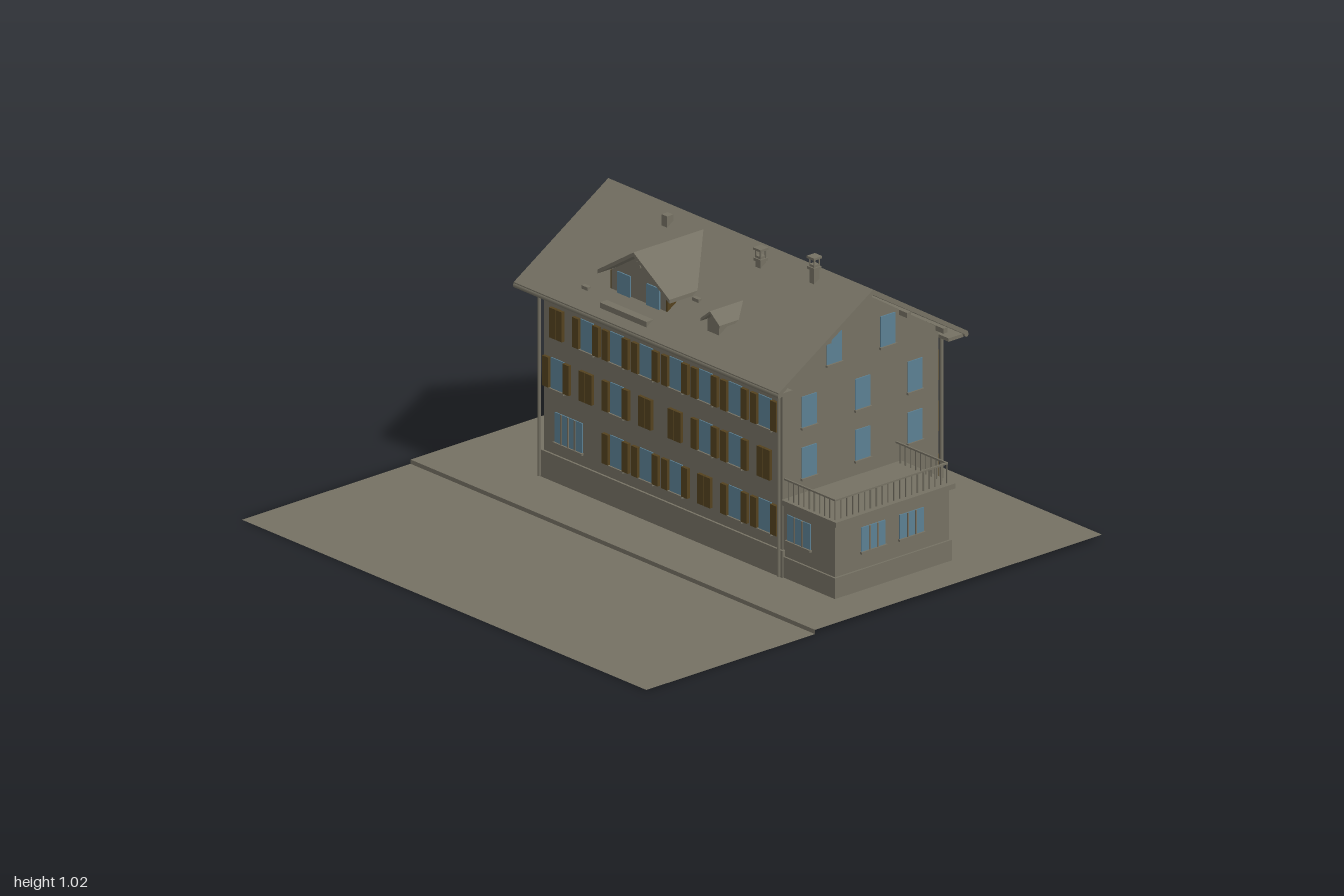
import * as THREE from 'three';

const mat = (name, color, side = THREE.FrontSide) => {
  const m = new THREE.MeshStandardMaterial({ color, side });
  m.name = name;
  return m;
};

export function createModel() {
  const root = new THREE.Group();
  root.name = 'house';
  const stone = mat('stone', 0x757163, THREE.DoubleSide);
  const glass = mat('glass', 0x5b8093);
  const wood = mat('wood', 0x54421f);

  const add = (parent, name, geo, m, x = 0, y = 0, z = 0) => {
    const mesh = new THREE.Mesh(geo, m);
    mesh.name = name;
    mesh.position.set(x, y, z);
    parent.add(mesh);
    return mesh;
  };
  // Box given by its limits on each axis
  const box = (parent, name, m, x0, x1, y0, y1, z0, z1) =>
    add(parent, name, new THREE.BoxGeometry(x1 - x0, y1 - y0, z1 - z0), m,
      (x0 + x1) / 2, (y0 + y1) / 2, (z0 + z1) / 2);
  const shapeOf = pts => new THREE.Shape(pts.map(p => new THREE.Vector2(...p)));
  const extrude = (pts, depth) =>
    new THREE.ExtrudeGeometry(shapeOf(pts), { depth, bevelEnabled: false });
  // Extrude a (z, y) profile along x
  const alongX = (name, m, pts, x0, x1) =>
    add(root, name, extrude(pts, x1 - x0).rotateY(-Math.PI / 2), m, x1, 0, 0);
  // Extrude an (x, y) profile along z
  const alongZ = (name, m, pts, z0, z1) => add(root, name, extrude(pts, z1 - z0), m, 0, 0, z0);
  const rod = (name, r, len, x, y, z, axis = 'y') => {
    const g = new THREE.CylinderGeometry(r, r, len, 8);
    if (axis === 'x') g.rotateZ(Math.PI / 2);
    if (axis === 'z') g.rotateX(Math.PI / 2);
    return add(root, name, g, stone, x, y, z);
  };

  // Ground in two levels with a kerb between them
  const plane = (name, w, d, y, z) =>
    add(root, name, new THREE.PlaneGeometry(w, d).rotateX(-Math.PI / 2), stone, 0, y, z);
  plane('yard', 2, 1.26, 0.015, -0.37);
  plane('road', 2, 0.74, 0, 0.63);
  add(root, 'kerb', new THREE.PlaneGeometry(2, 0.015), stone, 0, 0.0075, 0.26);

  // Main walls and plinth
  const ridgeZ = -0.315;
  alongX('walls', stone, [[0.03, 0.01], [0.03, 0.715], [ridgeZ, 0.93], [-0.655, 0.715], [-0.655, 0.01]], -0.6, 0.58);
  box(root, 'plinth', stone, -0.61, 0.588, 0.01, 0.11, -0.665, 0.038);

  // Roof slab, eaves, gutters and purlin ends
  alongX('roof', stone, [[0.1, 0.7], [ridgeZ, 0.957], [-0.73, 0.7], [-0.73, 0.684],
    [ridgeZ, 0.937], [0.1, 0.684]], -0.67, 0.64);
  box(root, 'frontSoffit', stone, -0.66, 0.63, 0.678, 0.69, 0.03, 0.09);
  box(root, 'backSoffit', stone, -0.66, 0.63, 0.678, 0.69, -0.72, -0.655);
  for (const z of [0.095, -0.725]) rod('gutter', 0.009, 1.31, -0.015, 0.689, z, 'x');
  for (const x of [-0.606, 0.578]) for (const z of [0.045, -0.67]) rod('downpipe', 0.006, 0.66, x, 0.35, z);
  for (const z of [0.02, -0.14, -0.49, -0.65])
    box(root, 'purlin', stone, -0.65, 0.62, 0, 0.018, z - 0.009, z + 0.009)
      .position.y = 0.922 - 0.615 * Math.abs(z - ridgeZ);

  // Facade groups: local z points out of the wall
  const facade = (name, x, z, turn) => {
    const g = new THREE.Group();
    g.name = name;
    g.position.set(x, 0, z);
    g.rotation.y = turn;
    root.add(g);
    return g;
  };
  const front = facade('frontFacade', 0, 0.03, 0);
  const back = facade('backFacade', 0, -0.655, Math.PI);
  const left = facade('leftFacade', 0.58, 0, Math.PI / 2);
  const right = facade('rightFacade', -0.6, 0, -Math.PI / 2);

  // Plain window with a sill
  const pane = (f, u, y, w = 0.064, h = 0.108, z = 0) => {
    box(f, 'windowPane', glass, u - w / 2, u + w / 2, y - h / 2, y + h / 2, z - 0.003, z + 0.004);
    box(f, 'windowSill', stone, u - w / 2 - 0.004, u + w / 2 + 0.004, y - h / 2 - 0.008, y - h / 2, z - 0.003, z + 0.01);
  };
  // Window with open or closed shutters
  const shuttered = (f, u, y, open = true) => {
    if (open) pane(f, u, y);
    for (const s of [-1, 1]) {
      const c = u + s * (open ? 0.05 : 0.0165);
      box(f, 'shutter', wood, c - 0.015, c + 0.015, y - 0.053, y + 0.053, 0, 0.012);
    }
  };
  // Wide window divided by slim mullions
  const wide = (f, u, y, w, h, n, z = 0) => {
    pane(f, u, y, w, h, z);
    for (let i = 1; i < n; i++) {
      const c = u - w / 2 + (w * i) / n;
      box(f, 'mullion', stone, c - 0.003, c + 0.003, y - h / 2, y + h / 2, z, z + 0.007);
    }
  };

  // Rows of windows, o = open, x = closed, . = none
  const rows = [[0.575, 'xooooooo'], [0.395, 'oxoxxoox'], [0.208, '..oooxoo']];
  const backRows = [[0.575, 'oooooooo'], [0.395, 'oooooooo'], [0.208, 'oooooo.o']];
  const fill = (f, list, start) => {
    for (const [y, row] of list)
      [...row].forEach((c, i) => { if (c !== '.') shuttered(f, start + 0.1467 * i, y, c === 'o'); });
  };
  fill(front, rows, -0.53);
  fill(back, backRows, -0.505);
  pane(back, 0.375, 0.208);
  wide(front, -0.475, 0.208, 0.135, 0.105, 4);

  // Gable windows
  for (const [f, s] of [[left, -1], [right, 1]]) {
    for (const z of [-0.195, -0.43]) pane(f, s * z, 0.767);
    for (const z of [-0.085, -0.32, -0.55]) for (const y of [0.575, 0.395]) pane(f, s * z, y);
  }
  for (const z of [-0.085, -0.32]) pane(right, z, 0.208);

  // Side doors
  for (const [f, u] of [[left, 0.552], [right, -0.56]]) {
    box(f, 'doorFrame', stone, u - 0.05, u + 0.05, 0.01, 0.205, 0, 0.012);
    box(f, 'door', wood, u - 0.036, u + 0.036, 0.02, 0.19, 0.008, 0.016);
  }
  for (const z of [-0.505, -0.62])
    box(root, 'stepWall', stone, 0.58, 0.62, 0.01, 0.1, z - 0.015, z + 0.015);

  // Side annex with terrace
  box(root, 'annex', stone, 0.58, 0.835, 0.01, 0.27, -0.475, 0.025);
  box(root, 'annexPlinth', stone, 0.58, 0.842, 0.01, 0.088, -0.482, 0.032);
  box(root, 'annexCornice', stone, 0.58, 0.85, 0.27, 0.288, -0.49, 0.035);
  wide(front, 0.658, 0.195, 0.115, 0.09, 3, -0.005);
  for (const u of [0.14, 0.308]) wide(left, u, 0.192, 0.105, 0.085, 3, 0.255);

  // Terrace railing
  const bar = (x, z) => box(root, 'baluster', stone, x - 0.002, x + 0.002, 0.288, 0.358, z - 0.002, z + 0.002);
  for (let i = 0; i < 10; i++) for (const z of [-0.47, 0.02]) bar(0.6 + i * 0.0255, z);
  for (let i = 1; i < 19; i++) bar(0.83, 0.02 - (i * 0.49) / 19);
  for (const z of [-0.47, 0.02]) box(root, 'handrail', stone, 0.58, 0.833, 0.355, 0.361, z - 0.003, z + 0.003);
  box(root, 'handrail', stone, 0.827, 0.833, 0.355, 0.361, -0.47, 0.02);

  // Large dormer: gabled body, timber cheeks, roof, two windows and a balcony box
  const dx = -0.163;
  alongZ('dormerWall', stone, [[dx - 0.135, 0.73], [dx + 0.135, 0.73], [dx + 0.135, 0.83],
    [dx, 0.915], [dx - 0.135, 0.83]], -0.2, 0.0);
  for (const s of [-1, 1])
    box(root, 'dormerCheek', wood, dx + s * 0.137 - 0.003, dx + s * 0.137 + 0.003, 0.73, 0.828, -0.12, 0.0);
  // Dormer roof follows the main slope at its back edge
  const dormerRoof = (name, x, half, eave, peak, zFront, thick) => {
    const g = extrude([[-half, eave], [0, peak], [half, eave], [half, eave - thick],
      [0, peak - thick], [-half, eave - thick]], 1);
    const p = g.attributes.position;
    for (let i = 0; i < p.count; i++) {
      const zBack = ridgeZ + (0.955 - p.getY(i)) / 0.6193 - 0.01;
      p.setZ(i, p.getZ(i) > 0.5 ? zFront : zBack);
    }
    g.computeVertexNormals();
    add(root, name, g, stone, x, 0, 0);
  };
  dormerRoof('dormerRoof', dx, 0.178, 0.823, 0.937, 0.025, 0.014);
  for (const x of [-0.235, -0.09]) pane(front, x, 0.787, 0.064, 0.095, -0.029);
  add(root, 'roundVent', new THREE.CylinderGeometry(0.014, 0.014, 0.01, 16).rotateX(Math.PI / 2), stone, dx, 0.885, 0.003);
  box(root, 'balconyBox', stone, -0.278, -0.048, 0.716, 0.738, 0.0, 0.07);

  // Small dormer
  const sx = 0.21;
  alongZ('smallDormer', stone, [[sx - 0.028, 0.742], [sx + 0.028, 0.742], [sx + 0.028, 0.8],
    [sx, 0.825], [sx - 0.028, 0.8]], -0.09, 0.005);
  dormerRoof('smallDormerRoof', sx, 0.047, 0.802, 0.84, 0.02, 0.01);

  // Chimneys with caps, and a skylight box
  for (const [x, z, top, w] of [[0.4, -0.27, 1.0, 0.024], [0.157, -0.25, 0.962, 0.024]]) {
    box(root, 'chimney', stone, x - w / 2, x + w / 2, 0.88, top - 0.012, z - w / 2, z + w / 2);
    box(root, 'chimneyCollar', stone, x - 0.017, x + 0.017, top - 0.03, top - 0.02, z - 0.017, z + 0.017);
    box(root, 'chimneyCap', stone, x - 0.018, x + 0.018, top + 0.008, top + 0.016, z - 0.018, z + 0.018);
    for (const a of [-1, 1]) for (const b of [-1, 1])
      box(root, 'capPost', stone, x + a * 0.011 - 0.002, x + a * 0.011 + 0.002, top - 0.02, top + 0.01,
        z + b * 0.011 - 0.002, z + b * 0.011 + 0.002);
  }
  box(root, 'ventStack', stone, -0.325, -0.298, 0.88, 0.952, -0.27, -0.243);
  for (const [x, z] of [[-0.39, 0.03], [0.045, -0.07]])
    box(root, 'roofHatch', stone, x - 0.015, x + 0.015, 0, 0.012, z - 0.008, z + 0.008)
      .position.y = 0.96 - 0.6193 * (z - ridgeZ);
  return root;
}
